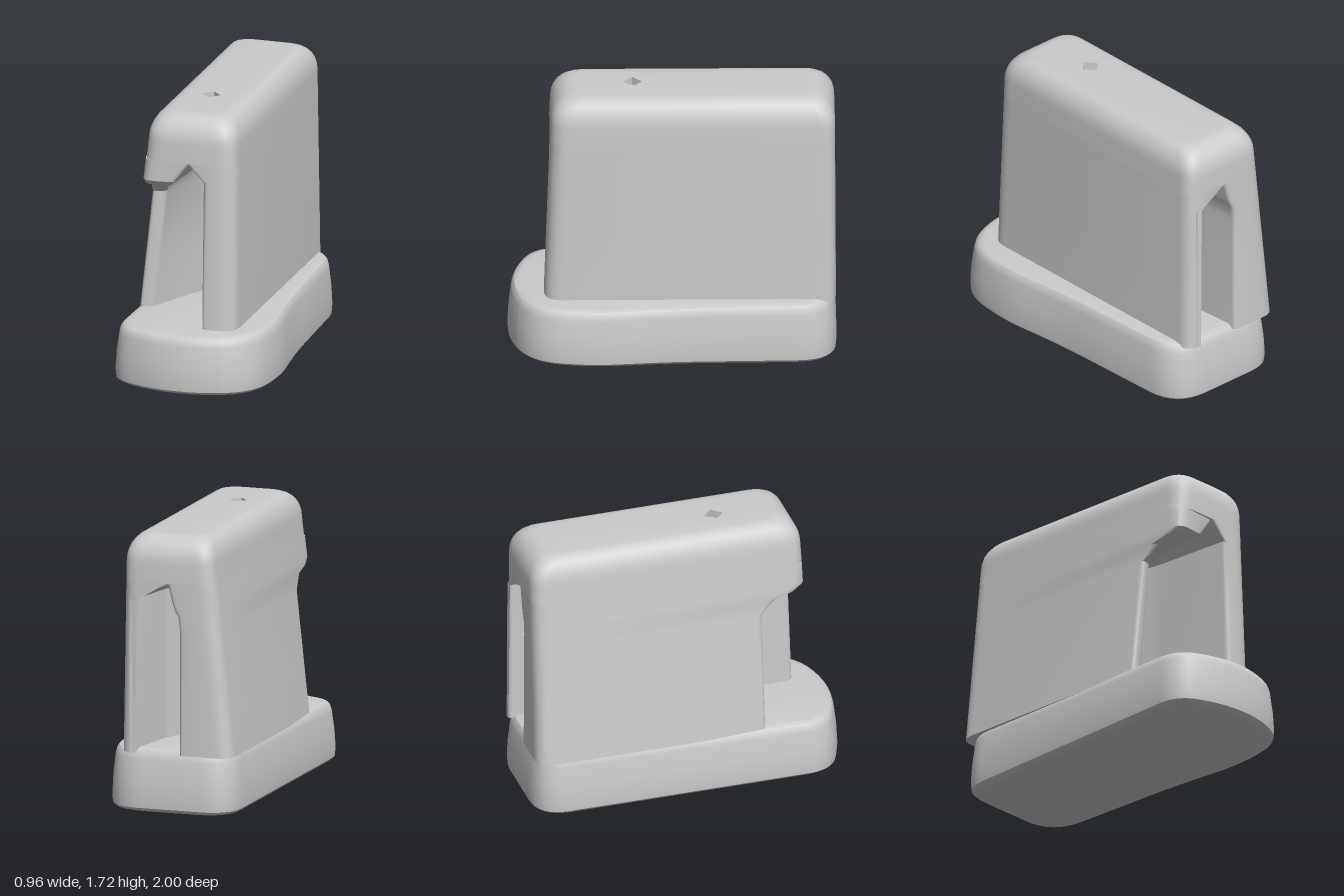
import * as THREE from 'three';
import { toCreasedNormals } from 'three/addons/utils/BufferGeometryUtils.js';

const material = new THREE.MeshStandardMaterial({ color: 0xcccccc });

// Round every corner of an outline given as [x, z, radius]
function roundOutline(corners, steps = 6) {
  const out = [];
  corners.forEach(([x, z, r], i) => {
    const n = corners.length;
    const p = new THREE.Vector2(x, z);
    const towards = (c) => new THREE.Vector2(c[0], c[1]).sub(p).normalize().multiplyScalar(r).add(p);
    const a = towards(corners[(i + n - 1) % n]);
    const b = towards(corners[(i + 1) % n]);
    out.push(...new THREE.QuadraticBezierCurve(a, p, b).getPoints(steps));
  });
  if (THREE.ShapeUtils.area(out) < 0) out.reverse();
  return out;
}

// Skin a stack of equal-length outlines [{ y, pts }] and close both ends
function loft(name, rings, { hole = null, lift = (y) => y, crease = 0.6 } = {}) {
  const pos = [];
  const put = (p, y) => pos.push(p.x, lift(y, p.y), p.y);
  const tri = (list) => list.forEach(([p, y]) => put(p, y));
  const n = rings[0].pts.length;
  for (let k = 0; k < rings.length - 1; k++) {
    const lo = rings[k], hi = rings[k + 1];
    for (let i = 0; i < n; i++) {
      const j = (i + 1) % n;
      const a = [lo.pts[i], lo.y], b = [lo.pts[j], lo.y], c = [hi.pts[i], hi.y], d = [hi.pts[j], hi.y];
      tri([a, c, b]);
      tri([b, c, d]);
    }
  }
  const cap = (ring, up, holes) => {
    const all = [...ring.pts, ...holes.flat()];
    for (const f of THREE.ShapeUtils.triangulateShape(ring.pts.slice(), holes.map((h) => h.slice()))) {
      const t = f.map((i) => all[i]);
      if ((THREE.ShapeUtils.area(t) > 0) === up) t.reverse();
      tri(t.map((p) => [p, ring.y]));
    }
  };
  cap(rings[0], false, []);
  cap(rings[rings.length - 1], true, hole ? [hole] : []);
  const geo = new THREE.BufferGeometry();
  geo.setAttribute('position', new THREE.Float32BufferAttribute(pos, 3));
  const mesh = new THREE.Mesh(toCreasedNormals(geo, crease), material);
  mesh.name = name;
  return mesh;
}

// Drafted outer faces of the body at height y
const outer = (y) => ({
  l: -0.43 + (y - 0.4) * 0.107,
  r: 0.282 - (y - 0.4) * 0.014,
  f: 0.78 - (y - 0.4) * 0.035,
  b: -0.995 + (y - 0.4) * 0.005,
});

function base() {
  const outline = roundOutline([
    [-0.435, -1, 0.2], [0.385, -1, 0.24], [0.43, 0, 0.2], [0.49, 0.5, 0.18],
    [0.43, 0.88, 0.2], [0.1, 1.01, 0.17], [-0.2, 0.99, 0.13], [-0.485, 0.87, 0.15],
  ], 8);
  const profile = [[0, 0.06], [0.01, 0.025], [0.03, 0.004], [0.08, 0], [0.2, 0.006],
    [0.33, 0.02], [0.365, 0.028], [0.385, 0.042], [0.395, 0.07]];
  const rings = profile.map(([y, inset]) => ({
    y,
    pts: outline.map((p) => new THREE.Vector2(p.x * (1 - inset / 0.48), p.y * (1 - inset))),
  }));
  // underside rises slightly towards the front
  return loft('base', rings, { lift: (y, z) => y + 0.015 * (z + 1) * (1 - y / 0.395) });
}

// Thin left wall; its front edge steps forward under the overhang
function leftWall() {
  const ring = (y, front, close) => {
    const o = outer(y);
    const inner = (x) => THREE.MathUtils.lerp(x, -0.02, close);
    return { y, pts: roundOutline([
      [o.l, o.b, 0.1], [inner(-0.1), o.b, 0.03], [inner(-0.07), -0.55, 0.03], [-0.02, -0.3, 0.02],
      [inner(-0.16), 0.05, 0.03], [inner(o.l + 0.08), front - 0.02, 0.03],
      [o.l, front, front > 0.5 ? 0.1 : 0.035],
    ]) };
  };
  return loft('leftWall', [
    ring(0.37, 0.46, 0), ring(0.7, 0.46, 0), ring(1.14, 0.46, 0), ring(1.23, 0.58, 0.15),
    ring(1.26, 0.7, 0.4), ring(1.3, outer(1.3).f, 0.58), ring(1.43, outer(1.43).f, 1),
  ]);
}

// Thick right wall, bulging into the slot halfway along
function rightWall() {
  const ring = (y, close) => {
    const o = outer(y);
    const inner = (x) => THREE.MathUtils.lerp(x, -0.04, close);
    return { y, pts: roundOutline([
      [o.r, o.b, 0.1], [inner(0.19), o.b, 0.03], [inner(0.12), -0.6, 0.04], [-0.04, -0.3, 0.02],
      [inner(0.05), 0.2, 0.05], [inner(0.07), o.f, 0.03], [o.r, o.f, 0.12],
    ]) };
  };
  return loft('rightWall', [ring(0.37, 0), ring(0.8, 0), ring(1.32, 0), ring(1.43, 1)]);
}

// Rounded top joining both walls, with a diamond recess
function topCap() {
  const ring = (y, dx, dz) => {
    const o = outer(Math.min(y, 1.55));
    return { y, pts: roundOutline([
      [o.l + dx, o.b + dz, 0.1], [o.r - dx, o.b + dz, 0.1],
      [o.r - dx, o.f - dz, 0.12], [o.l + dx, o.f - dz, 0.12],
    ]) };
  };
  const rings = [ring(1.43, 0, 0)];
  for (let k = 0; k <= 7; k++) {
    const a = (k / 7) * Math.PI / 2;
    rings.push(ring(1.55 + 0.17 * Math.sin(a), 0.11 * (1 - Math.cos(a)), 0.14 * (1 - Math.cos(a))));
  }
  const group = new THREE.Group();
  group.name = 'topCap';
  const cx = -0.04, cz = 0.24, r = 0.06, depth = 0.05;
  const diamond = [[0, -1], [1, 0], [0, 1], [-1, 0]].map(([x, z]) => new THREE.Vector2(cx + x * r, cz + z * r));
  group.add(loft('roundedTop', rings, { hole: diamond }));

  // recess walls and floor, seen from inside
  const pitMaterial = material.clone();
  pitMaterial.side = THREE.BackSide;
  const pitGeo = new THREE.CylinderGeometry(r, r, depth, 4, 1, true).toNonIndexed();
  pitGeo.computeVertexNormals();
  const pit = new THREE.Mesh(pitGeo, pitMaterial);
  pit.name = 'recessWalls';
  pit.position.set(cx, 1.72 - depth / 2, cz);
  const floor = new THREE.Mesh(new THREE.CircleGeometry(r, 4).rotateX(-Math.PI / 2), material);
  floor.name = 'recessFloor';
  floor.position.set(cx, 1.72 - depth, cz);
  group.add(pit, floor);
  return group;
}

export function createModel() {
  const model = new THREE.Group();
  model.name = 'slottedBlockOnBase';
  model.add(base(), leftWall(), rightWall(), topCap());
  return model;
}
